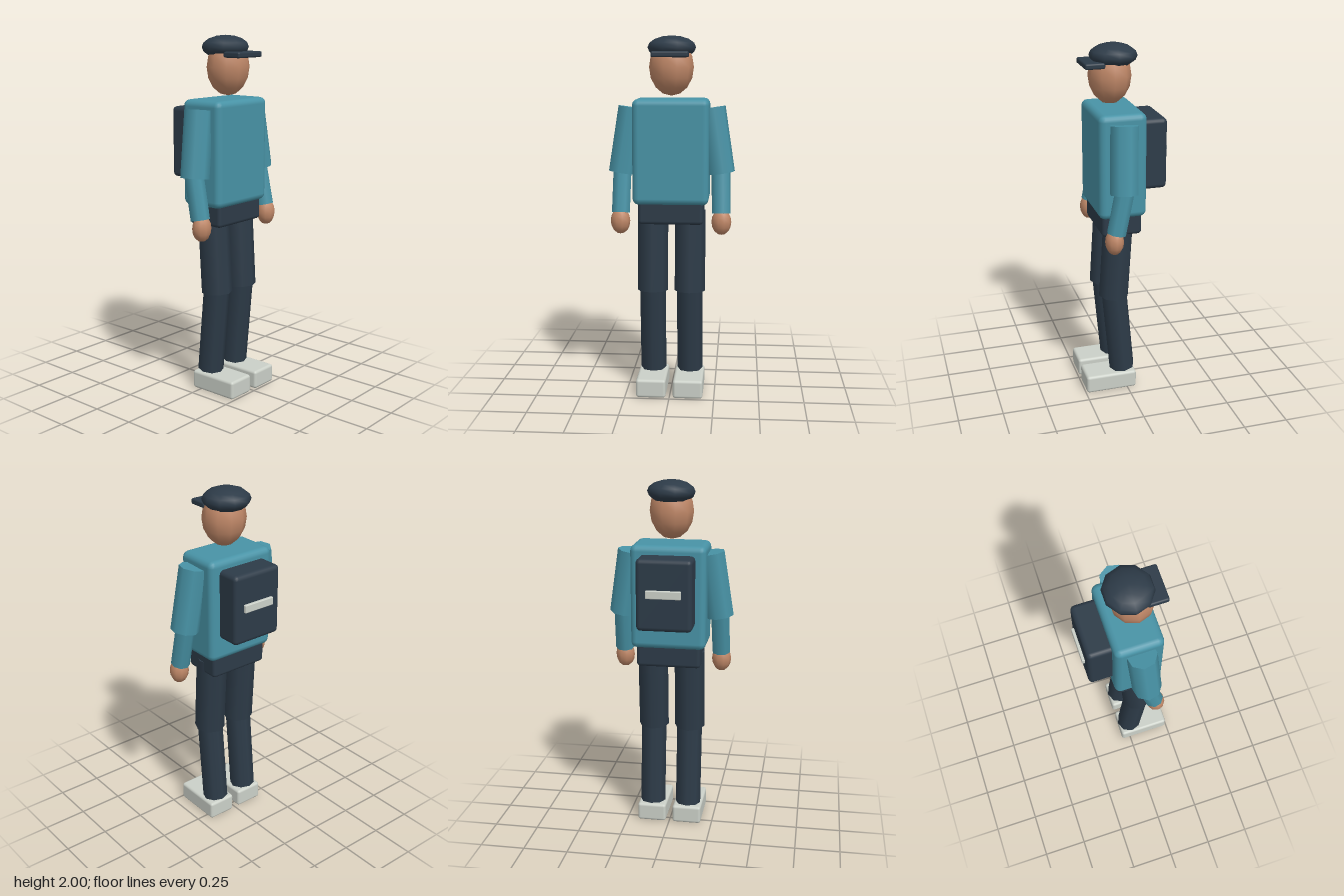
import * as THREE from 'three';
import { RoundedBoxGeometry } from 'three/addons/geometries/RoundedBoxGeometry.js';

const material = (name, color) => {
  const m = new THREE.MeshStandardMaterial({ color });
  m.name = name;
  return m;
};

export function createModel() {
  const model = new THREE.Group();
  model.name = 'courier';

  const teal = material('teal jacket', 0x4893a6);
  const navy = material('dark navy', 0x2d3b48);
  const skin = material('skin', 0xbf8767);
  const pale = material('pale grey', 0xcbd0c8);

  const add = (name, geometry, mat) => {
    const mesh = new THREE.Mesh(geometry, mat);
    mesh.name = name;
    model.add(mesh);
    return mesh;
  };

  // Rounded box given by its lower and upper corners
  const box = (name, mat, lo, hi, radius) => {
    const s = hi.map((h, i) => h - lo[i]);
    add(name, new RoundedBoxGeometry(s[0], s[1], s[2], 2, radius), mat)
      .position.set(...hi.map((h, i) => (h + lo[i]) / 2));
  };

  // Ellipsoid given by centre and radii
  const ball = (name, mat, centre, radii) => {
    const mesh = add(name, new THREE.SphereGeometry(1, 10, 8), mat);
    mesh.position.set(...centre);
    mesh.scale.set(...radii);
  };

  // Eight-sided cylinder running between two joints
  const limb = (name, mat, from, to, radius) => {
    const a = new THREE.Vector3(...from);
    const b = new THREE.Vector3(...to);
    const dir = b.clone().sub(a);
    const mesh = add(name, new THREE.CylinderGeometry(radius, radius, dir.length(), 8), mat);
    mesh.position.copy(a).add(b).multiplyScalar(0.5);
    mesh.quaternion.setFromUnitVectors(new THREE.Vector3(0, 1, 0), dir.normalize());
  };

  // Body
  box('torso', teal, [-0.21, 1.08, -0.1], [0.21, 1.66, 0.165], 0.035);
  box('hips', navy, [-0.18, 0.97, -0.08], [0.18, 1.15, 0.145], 0.02);

  // Head and cap
  ball('head', skin, [0, 1.83, 0.053], [0.123, 0.155, 0.117]);
  ball('cap', navy, [0, 1.936, 0.033], [0.133, 0.064, 0.13]);
  box('capBrim', navy, [-0.1, 1.883, 0.1], [0.1, 1.915, 0.21], 0.01);

  // Backpack with a pale strip
  box('backpack', navy, [-0.153, 1.215, -0.23], [0.153, 1.61, -0.07], 0.025);
  box('backpackStrip', pale, [-0.096, 1.4, -0.246], [0.096, 1.445, -0.215], 0.005);

  // Arms, legs and shoes on both sides
  for (const [side, s] of [['left', 1], ['right', -1]]) {
    limb(side + 'UpperArm', teal, [s * 0.22, 1.61, 0.035], [s * 0.275, 1.25, 0.052], 0.079);
    limb(side + 'Forearm', teal, [s * 0.275, 1.26, 0.048], [s * 0.28, 1.03, 0.095], 0.053);
    ball(side + 'Hand', skin, [s * 0.281, 0.985, 0.106], [0.055, 0.073, 0.051]);
    limb(side + 'Thigh', navy, [s * 0.105, 1.04, 0.035], [s * 0.105, 0.58, 0.063], 0.086);
    limb(side + 'Shin', navy, [s * 0.105, 0.6, 0.06], [s * 0.105, 0.11, 0.015], 0.073);
    const x = [s * 0.02, s * 0.187].sort((p, q) => p - q);
    box(side + 'Shoe', pale, [x[0], 0, -0.053], [x[1], 0.105, 0.244], 0.016);
  }
  return model;
}
